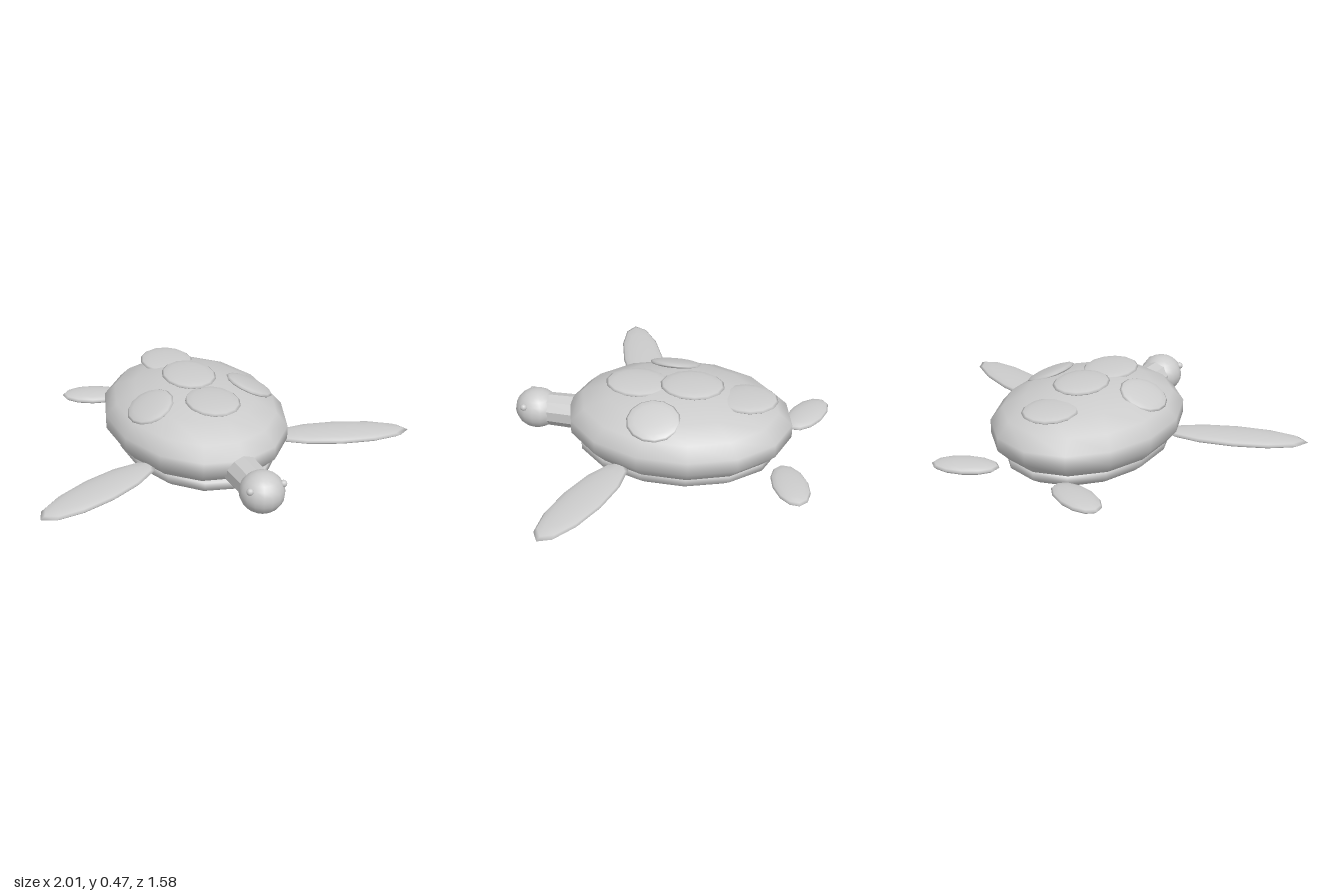
import * as THREE from 'three';

const shellGrey = new THREE.MeshStandardMaterial({ color: 0xcccccc });
shellGrey.name = 'light grey';
const neckGrey = shellGrey.clone();
neckGrey.flatShading = true;

// Ellipsoid with a vertex column at each z end
function ellipsoid(name, [cx, cy, cz], [rx, ry, rz], cols = 14, rows = 9) {
  const geo = new THREE.SphereGeometry(1, cols, rows, Math.PI / 2);
  const mesh = new THREE.Mesh(geo, shellGrey);
  mesh.name = name;
  mesh.position.set(cx, cy, cz);
  mesh.scale.set(rx, ry, rz);
  return mesh;
}

export function createModel() {
  const turtle = new THREE.Group();
  turtle.name = 'seaTurtle';

  // Body
  turtle.add(ellipsoid('shell', [0, 0.245, -0.075], [0.453, 0.2, 0.584]));
  turtle.add(ellipsoid('bellyPlate', [0, 0.12, -0.065], [0.385, 0.118, 0.523]));

  // Raised plates along the back
  const backPlates = [
    [0.43, 0.14, 0.163],
    [0.45, -0.14, 0.163],
    [0.405, -0.42, 0.155],
  ];
  for (const [y, z, rz] of backPlates) {
    turtle.add(ellipsoid('backPlate', [0, y, z], [0.134, 0.022, rz], 14, 8));
  }

  // Head and neck
  turtle.add(ellipsoid('head', [0, 0.208, 0.677], [0.11, 0.103, 0.113], 16, 12));
  const neck = new THREE.Mesh(new THREE.CylinderGeometry(0.084, 0.09, 0.25, 10), neckGrey);
  neck.name = 'neck';
  neck.rotation.x = Math.PI / 2;
  neck.position.set(0, 0.209, 0.525);
  turtle.add(neck);

  // Mirrored parts
  for (const s of [1, -1]) {
    const side = s > 0 ? 'left' : 'right';

    const sidePlate = ellipsoid(side + 'SidePlate', [s * 0.275, 0.395, 0], [0.122, 0.022, 0.136], 14, 8);
    sidePlate.rotation.z = -s * 0.42;

    const frontFlipper = ellipsoid(side + 'FrontFlipper', [s * 0.66, 0.157, 0.264], [0.365, 0.026, 0.108], 12, 8);
    frontFlipper.rotation.y = -s * 0.35;

    const rearFlipper = ellipsoid(side + 'RearFlipper', [s * 0.318, 0.144, -0.69], [0.168, 0.027, 0.09], 12, 8);
    rearFlipper.rotation.y = s * 0.41;

    const eye = ellipsoid(side + 'Eye', [s * 0.088, 0.255, 0.724], [0.018, 0.018, 0.018], 10, 8);

    turtle.add(sidePlate, frontFlipper, rearFlipper, eye);
  }
  return turtle;
}
